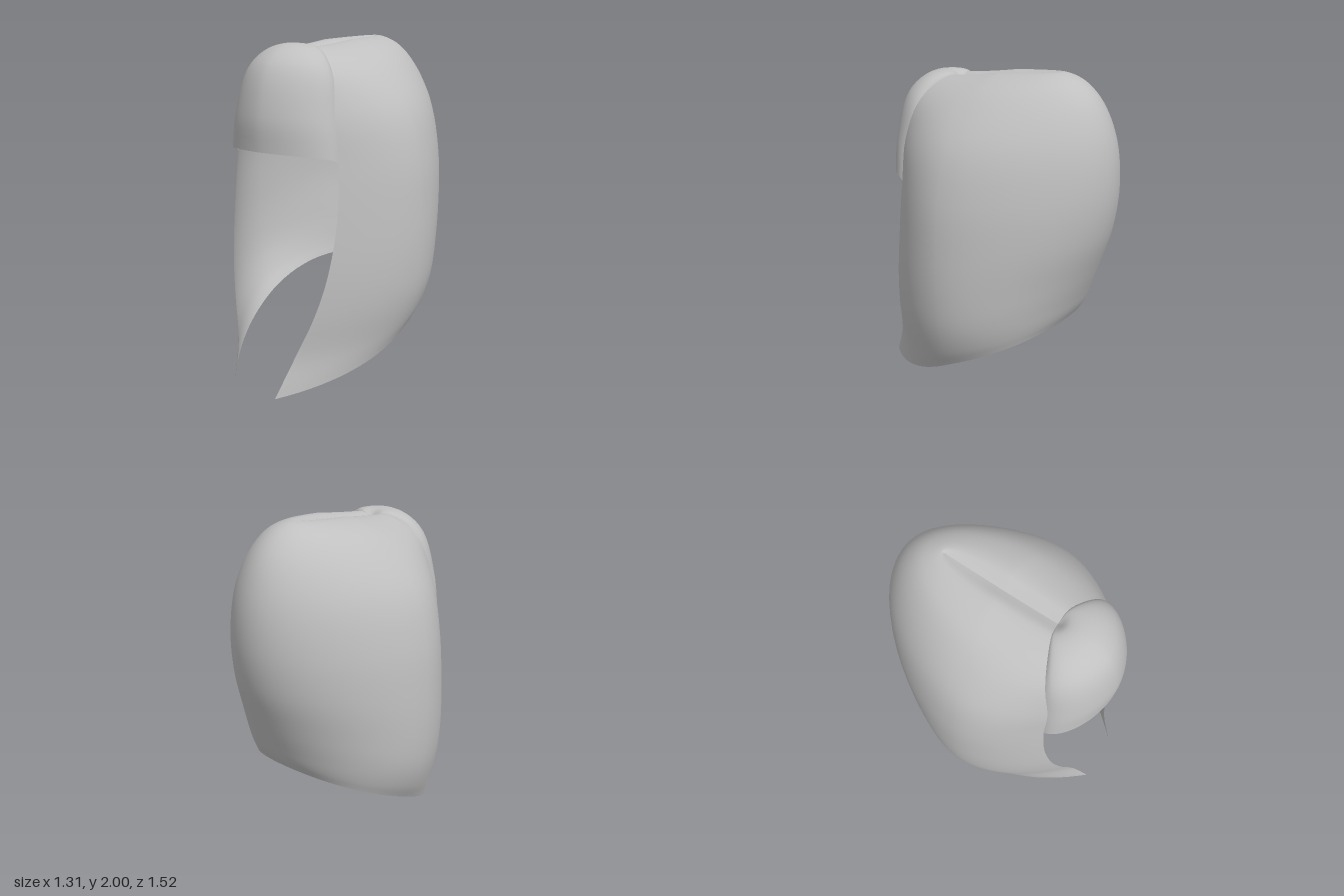
import * as THREE from 'three';

const curve = (pts) => new THREE.CatmullRomCurve3(pts.map((p) => new THREE.Vector3(...p)));

// Front edge of the side hair, from the parting down to the tip
const frontEdge = curve([
  [0, 1.915, 0.285], [0.08, 1.94, 0.295], [0.205, 1.885, 0.345], [0.295, 1.78, 0.395],
  [0.345, 1.58, 0.45], [0.38, 1.33, 0.46], [0.392, 1.0, 0.49], [0.365, 0.7, 0.54],
  [0.31, 0.47, 0.59], [0.22, 0.22, 0.66], [0.16, 0, 0.76],
]);
// Widest line down the side
const sideLine = curve([
  [0, 1.945, -0.05], [0.09, 1.978, -0.05], [0.27, 1.915, -0.03], [0.415, 1.785, -0.01],
  [0.547, 1.59, 0], [0.622, 1.32, 0], [0.65, 1.02, 0], [0.653, 0.76, 0],
  [0.633, 0.55, 0], [0.585, 0.39, 0], [0.535, 0.295, 0],
]);
// Middle line down the back
const backLine = curve([
  [0, 1.988, -0.39], [0, 1.999, -0.41], [0, 1.957, -0.53], [0, 1.84, -0.645],
  [0, 1.63, -0.73], [0, 1.36, -0.755], [0, 1.1, -0.72], [0, 0.86, -0.64],
  [0, 0.7, -0.58], [0, 0.6, -0.54], [0, 0.53, -0.5],
]);
// Middle line down the fringe
const fringeLine = curve([
  [0, 1.915, 0.285], [0, 1.96, 0.35], [0, 1.945, 0.48], [0, 1.84, 0.61],
  [0, 1.58, 0.685], [0, 1.385, 0.685],
]);

// Point between a and b, with its own blend for each axis
const blend = (a, b, x, y, z) => new THREE.Vector3(
  a.x + (b.x - a.x) * x, a.y + (b.y - a.y) * y, a.z + (b.z - a.z) * z,
);

// Half of the shell: s runs from the back (0) past the side (0.5) to the front edge (1)
function shellPoint(s, v) {
  const side = sideLine.getPoint(v);
  if (s <= 0.5) {
    const back = backLine.getPoint(v);
    const full = 0.2 * v ** 4 + 0.25 * (1 - v) ** 5; // the crown and lower rim are boxier
    const nearBack = blend(back, side, 0.5 + full, 0, 0);
    const nearSide = blend(side, back, 0, 0.35 + full, 0.35 + full);
    return new THREE.CubicBezierCurve3(back, nearBack, nearSide, side).getPoint(s * 2);
  }
  const front = frontEdge.getPoint(v);
  const bend = blend(side, front, 0, 0.65, 0.47);
  return new THREE.QuadraticBezierCurve3(side, bend, front).getPoint(s * 2 - 1);
}

// Half of the fringe: rounded rows meeting the upper half of the shell's front edge
function fringePoint(s, v) {
  const a = (s * Math.PI) / 2;
  const x = Math.sin(a) ** 1.16;
  const k = s === 1 ? 0 : Math.cos(a) ** 1.16;
  return blend(fringeLine.getPoint(v), frontEdge.getPoint(v / 2), x, 1 - Math.sqrt(k), 1 - k);
}

// Mirrored grid surface; dir sets which way a row runs so the outside faces out
function surface(point, columns, rows, dir) {
  const position = [], index = [];
  for (let j = 0; j <= rows; j++) {
    for (let i = -columns; i <= columns; i++) {
      const p = point(Math.abs(i) / columns, j / rows);
      position.push(p.x * Math.sign(i) * dir, p.y, p.z);
    }
  }
  const w = columns * 2 + 1;
  for (let j = 0; j < rows; j++) {
    for (let i = 0; i < w - 1; i++) {
      const a = j * w + i;
      index.push(a, a + 1, a + w, a + 1, a + w + 1, a + w);
    }
  }
  const g = new THREE.BufferGeometry();
  g.setAttribute('position', new THREE.Float32BufferAttribute(position, 3));
  g.setIndex(index);
  g.computeVertexNormals();
  return g;
}

export function createModel() {
  const group = new THREE.Group();
  group.name = 'bobHair';
  const hair = new THREE.MeshStandardMaterial({ color: 0xc0c0c0, side: THREE.DoubleSide });
  hair.name = 'hair grey';

  // Back and sides with a centre parting
  const shell = new THREE.Mesh(surface(shellPoint, 32, 50, 1), hair);
  shell.name = 'backAndSideHair';

  // Rounded fringe over the forehead
  const fringe = new THREE.Mesh(surface(fringePoint, 16, 25, -1), hair);
  fringe.name = 'fringe';

  group.add(shell, fringe);
  return group;
}
